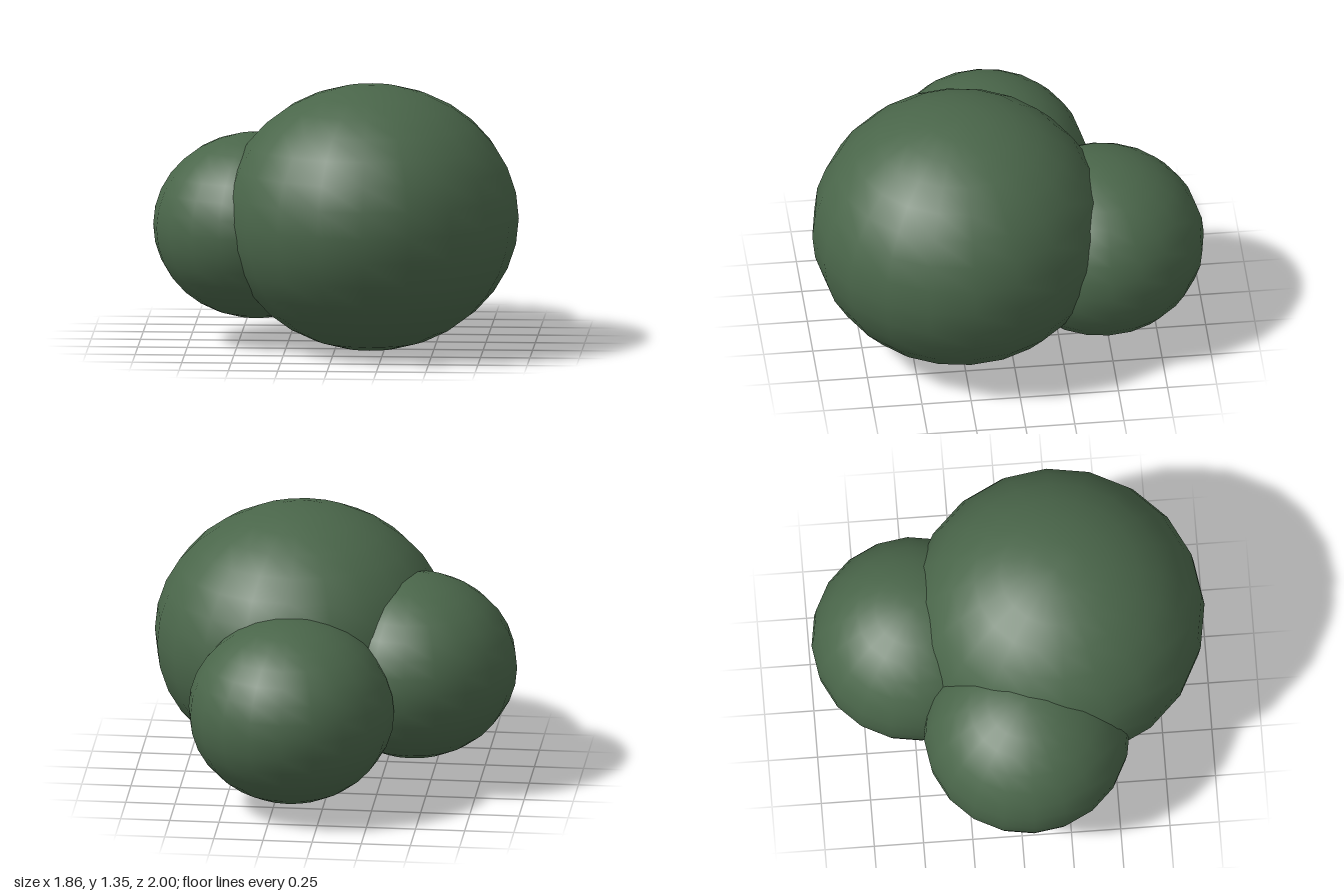
import * as THREE from 'three';

// A bush made of three overlapping, slightly flattened leaf clumps.
export function createModel() {
  const group = new THREE.Group();
  group.name = 'bush';
  const leaves = new THREE.MeshStandardMaterial({ color: 0x4a664a });

  // name, radius, centre
  const clumps = [
    ['mainClump', 0.75, [0.18, 0.675, 0.245]],
    ['rightClump', 0.523, [-0.41, 0.6, 0.05]],
    ['backClump', 0.523, [0.16, 0.52, -0.477]],
  ];
  for (const [name, radius, centre] of clumps) {
    const mesh = new THREE.Mesh(new THREE.SphereGeometry(radius, 20, 16), leaves);
    mesh.name = name;
    mesh.scale.y = 0.9;
    mesh.position.set(...centre);
    group.add(mesh);
  }
  return group;
}
